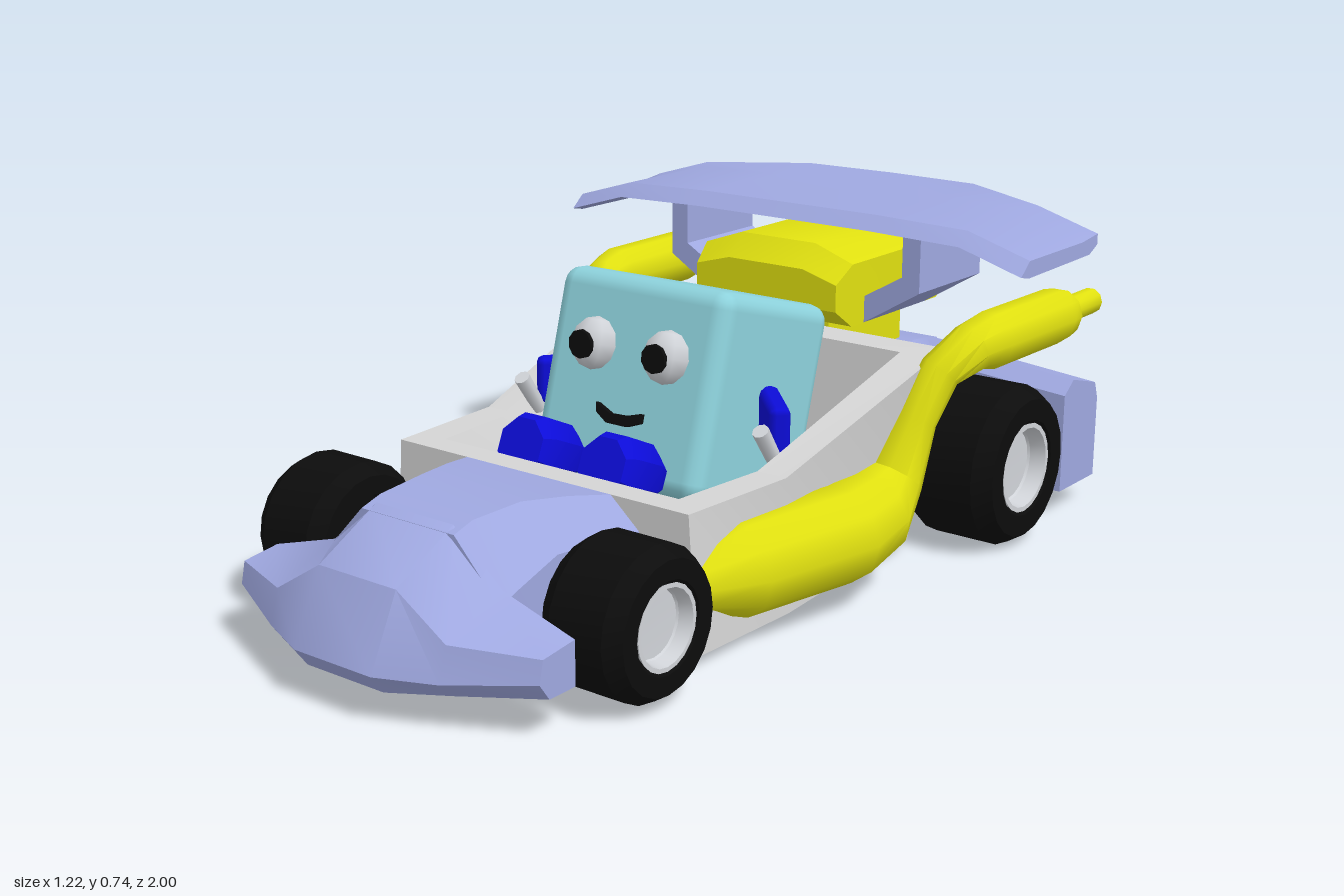
import * as THREE from 'three';
import { toCreasedNormals } from 'three/addons/utils/BufferGeometryUtils.js';
import { RoundedBoxGeometry } from 'three/addons/geometries/RoundedBoxGeometry.js';

const paint = (name, color, side = THREE.FrontSide) => {
  const m = new THREE.MeshStandardMaterial({ color, side });
  m.name = name;
  return m;
};

// Solid skinned over a list of rings (equal point counts), capped at both ends
function loft(rings, crease = 0.6) {
  const n = rings[0].length, pos = rings.flat(2), idx = [];
  for (let r = 0; r < rings.length - 1; r++) {
    for (let i = 0; i < n; i++) {
      const a = r * n + i, b = r * n + (i + 1) % n;
      idx.push(a, b, a + n, b, b + n, a + n);
    }
  }
  const last = (rings.length - 1) * n;
  for (let i = 1; i < n - 1; i++) {
    idx.push(0, i + 1, i);
    idx.push(last, last + i, last + i + 1);
  }
  // Turn the faces outward if the enclosed volume is negative
  const p = (i) => new THREE.Vector3().fromArray(pos, i * 3);
  let volume = 0;
  for (let i = 0; i < idx.length; i += 3) volume += p(idx[i]).dot(p(idx[i + 1]).cross(p(idx[i + 2])));
  if (volume < 0) idx.reverse();
  const g = new THREE.BufferGeometry();
  g.setAttribute('position', new THREE.Float32BufferAttribute(pos, 3));
  g.setIndex(idx);
  return toCreasedNormals(g, crease);
}

// Symmetric six-sided section across z: half width, bottom, shoulder, top half width, top
const hull = ([z, w, y0, ym, t, y1]) =>
  [[-w, y0, z], [w, y0, z], [w, ym, z], [t, y1, z], [-t, y1, z], [-w, ym, z]];

// Sections across x, given for one half and mirrored: [x, [[z, y], ...]], outermost first
function span(half) {
  const ring = (x, pts) => pts.map(([z, y]) => [x, y, z]);
  const right = half.map(([x, pts]) => ring(-x, pts));
  const left = half.filter(([x]) => x > 0).reverse().map(([x, pts]) => ring(x, pts));
  return loft([...right, ...left]);
}

// Pipe of changing radius along points [x, y, z, radius]
function pipe(path, sign) {
  const pts = path.map(([x, y, z]) => new THREE.Vector3(x * sign, y, z));
  return loft(path.map(([, , , r], i) => {
    const t = pts[Math.min(i + 1, pts.length - 1)].clone().sub(pts[Math.max(i - 1, 0)]).normalize();
    const u = new THREE.Vector3(1, 0, 0).addScaledVector(t, -t.x).normalize();
    const v = t.clone().cross(u);
    return Array.from({ length: 10 }, (_, k) => {
      const a = (k / 10) * Math.PI * 2;
      return pts[i].clone().addScaledVector(u, r * Math.cos(a)).addScaledVector(v, r * Math.sin(a)).toArray();
    });
  }), 0.8);
}

export function createModel() {
  const lavender = paint('lavender bodywork', 0x9fa8e0);
  const grey = paint('light grey tub', 0xd4d4d4);
  const yellow = paint('yellow engine', 0xe0e010);
  const teal = paint('teal skin', 0x8dd2dc);
  const blue = paint('blue clothing', 0x0c0cd8);
  const black = paint('black rubber', 0x0c0c0c);
  const silver = paint('silver rim', 0xd0d3d8, THREE.DoubleSide);
  const model = new THREE.Group();
  const add = (name, geo, mat, parent = model) => {
    const m = new THREE.Mesh(geo, mat);
    m.name = name;
    parent.add(m);
    return m;
  };

  // Cockpit tub: outer bottom, outer rim, inner rim, floor
  const plan = (pts) => [...pts, ...pts.map(([x, y, z]) => [-x, y, z]).reverse()];
  add('tub', loft([
    plan([[0.4, 0.025, 0.44], [0.41, 0.025, 0.15], [0.37, 0.025, -0.365]]),
    plan([[0.38, 0.31, 0.44], [0.4, 0.31, 0.15], [0.45, 0.475, -0.365]]),
    plan([[0.31, 0.31, 0.38], [0.33, 0.31, 0.15], [0.37, 0.465, -0.31]]),
    plan([[0.27, 0.2, 0.37], [0.28, 0.2, 0.15], [0.25, 0.2, -0.28]]),
  ], 0.3), grey);

  // Nose and front wing
  add('hood', loft([
    [0.44, 0.26, 0.05, 0.25, 0.19, 0.31],
    [0.53, 0.24, 0.05, 0.25, 0.16, 0.325],
    [0.63, 0.22, 0.05, 0.25, 0.13, 0.335],
    [0.75, 0.23, 0.05, 0.22, 0.12, 0.33],
    [0.8, 0.23, 0.06, 0.2, 0.12, 0.315],
  ].map(hull)), lavender);
  add('frontWing', span([
    [0.39, [[0.78, 0.085], [0.85, 0.085], [0.875, 0.12], [0.865, 0.165], [0.78, 0.175]]],
    [0.22, [[0.78, 0.07], [0.91, 0.065], [0.95, 0.1], [0.93, 0.17], [0.78, 0.225]]],
    [0.1, [[0.78, 0.06], [0.97, 0.06], [1, 0.1], [0.93, 0.245], [0.78, 0.325]]],
  ]), lavender);

  // Rear cover and bumper
  add('rearCover', loft([
    [-0.33, 0.27, 0.06, 0.28, 0.2, 0.37],
    [-0.68, 0.27, 0.06, 0.3, 0.18, 0.385],
    [-0.8, 0.22, 0.06, 0.28, 0.14, 0.36],
    [-0.92, 0.15, 0.07, 0.26, 0.1, 0.33],
  ].map(hull)), lavender);
  add('rearBumper', span([
    [0.53, [[-0.77, 0.06], [-0.77, 0.29], [-0.81, 0.32], [-0.92, 0.29], [-0.935, 0.25], [-0.935, 0.06]]],
    [0.06, [[-0.76, 0.06], [-0.76, 0.33], [-0.8, 0.36], [-0.98, 0.31], [-1, 0.28], [-1, 0.06]]],
  ]), lavender);

  // Top wing on two bent struts
  const blade = (y, zb) => [[-0.385, y - 0.03], [-0.42, y], [-0.7, y], [zb, y + 0.008],
    [zb, y - 0.016], [-0.69, y - 0.033], [-0.42, y - 0.037]];
  add('topWing', span([
    [0.61, blade(0.677, -0.725)], [0.46, blade(0.722, -0.725)],
    [0.23, blade(0.728, -0.84)], [0, blade(0.728, -0.85)],
  ]), lavender);
  const strutShape = [[0.34, 0.7], [0.34, 0.565], [0.2, 0.48], [0.2, 0.54], [0.295, 0.595], [0.295, 0.7]];
  for (const s of [-1, 1]) {
    const shape = new THREE.Shape(strutShape.map(([x, y]) => new THREE.Vector2(x * s, y)));
    add('wingStrut', new THREE.ExtrudeGeometry(shape, { depth: 0.26, bevelEnabled: false }), lavender)
      .position.z = -0.69;
  }

  // Engine block on a narrow base
  add('engine', loft([
    [-0.33, 0.19, 0.52, 0.58, 0.1, 0.605],
    [-0.38, 0.2, 0.48, 0.62, 0.1, 0.655],
    [-0.74, 0.2, 0.48, 0.62, 0.1, 0.655],
    [-0.79, 0.19, 0.52, 0.58, 0.1, 0.61],
  ].map(hull)), yellow);
  add('engineBase', new THREE.BoxGeometry(0.28, 0.18, 0.3), yellow).position.set(0, 0.42, -0.53);

  // Side pods running up into the exhausts
  const exhaust = [
    [0.35, 0.155, 0.4, 0.06], [0.385, 0.16, 0.29, 0.1], [0.43, 0.155, 0, 0.103], [0.42, 0.165, -0.13, 0.095],
    [0.42, 0.22, -0.22, 0.065], [0.44, 0.34, -0.27, 0.045], [0.47, 0.44, -0.31, 0.045],
    [0.505, 0.485, -0.38, 0.055], [0.515, 0.49, -0.43, 0.063], [0.52, 0.49, -0.7, 0.063],
    [0.52, 0.49, -0.745, 0.055], [0.52, 0.49, -0.75, 0.03], [0.52, 0.49, -0.89, 0.03],
  ];
  for (const s of [-1, 1]) add('exhaust', pipe(exhaust, s), yellow);

  // Wheels; the right rear one is a bare rim
  const lathe = (pts) => toCreasedNormals(
    new THREE.LatheGeometry(pts.map(([r, h]) => new THREE.Vector2(r, h)), 20), 0.5);
  function wheel(name, s, x, y, z, R, h, hasTyre) {
    const g = new THREE.Group();
    g.name = name;
    g.position.set(s * x, y, z);
    g.rotation.z = -s * Math.PI / 2;
    model.add(g);
    if (hasTyre) {
      add('tyre', lathe([[0, -h * 0.6], [0.55 * R, -h * 0.7], [0.6 * R, -h], [0.86 * R, -h], [R, -h * 0.65],
        [R, h * 0.65], [0.86 * R, h], [0.6 * R, h], [0.56 * R, h * 0.4], [0, h * 0.4]]), black, g);
    }
    add('rim', lathe([[0, h * 0.5], [0.4 * R, h * 0.5], [0.56 * R, h * 0.97], [0.5 * R, h * 0.97],
      [0.45 * R, h * 0.62], [0, h * 0.6]]), silver, g);
  }
  for (const s of [-1, 1]) {
    wheel('frontWheel', s, 0.38, 0.165, 0.62, 0.152, 0.095, true);
    wheel('rearWheel', s, 0.445, 0.181, -0.55, 0.181, 0.115, s > 0);
  }

  // Driver: a tilted, slightly tapered block with a face
  const driver = new THREE.Group();
  driver.name = 'driver';
  driver.position.set(-0.005, 0.383, -0.045);
  driver.rotation.x = -0.28;
  model.add(driver);
  const block = new RoundedBoxGeometry(0.45, 0.44, 0.42, 2, 0.04);
  const p = block.attributes.position;
  for (let i = 0; i < p.count; i++) p.setX(i, p.getX(i) * (0.96 + 0.2 * p.getZ(i)));
  add('driverBody', block, teal, driver);
  for (const s of [-1, 1]) {
    const eye = add('eye', new THREE.SphereGeometry(0.057, 8, 6), silver, driver);
    eye.position.set(s * 0.096, 0.064, 0.21);
    eye.scale.z = 0.75;
    const pupil = add('pupil', new THREE.CylinderGeometry(0.031, 0.031, 0.009, 10), black, driver);
    pupil.rotation.x = Math.PI / 2 + 0.2;
    pupil.position.set(s * 0.097, 0.058, 0.253);
  }
  const mouth = new THREE.Shape([[-0.06, 0.02], [-0.055, 0], [-0.025, -0.018], [0.025, -0.018], [0.06, -0.005],
    [0.06, 0.015], [0.025, 0.005], [-0.02, 0.003]].map(([x, y]) => new THREE.Vector2(x, y)));
  add('mouth', new THREE.ExtrudeGeometry(mouth, { depth: 0.02, bevelEnabled: false }), black, driver)
    .position.set(0.005, -0.075, 0.205);

  // Arms, steering levers and shoes
  for (const s of [-1, 1]) {
    const arm = add('arm', new RoundedBoxGeometry(0.18, 0.105, 0.045, 1, 0.015), blue);
    arm.position.set(s * 0.265, 0.368, 0.005);
    arm.rotation.set(0, -s * 0.8, 0);
    const lever = add('lever', new THREE.CylinderGeometry(0.018, 0.016, 0.1, 8), silver);
    lever.position.set(s * 0.32, 0.345, 0.1);
    lever.rotation.x = 0.6;
    const shoe = add('shoe', loft([[-0.08, 0.05], [-0.04, 0.07], [0.05, 0.073], [0.075, 0.06]].map(([z, r]) =>
      Array.from({ length: 8 }, (_, k) => {
        const a = (k + 0.5) * Math.PI / 4;
        return [r * Math.cos(a), r * Math.sin(a), z];
      }))), blue);
    shoe.position.set(s * 0.108, 0.305, 0.3);
    shoe.rotation.x = -0.4;
  }
  return model;
}
